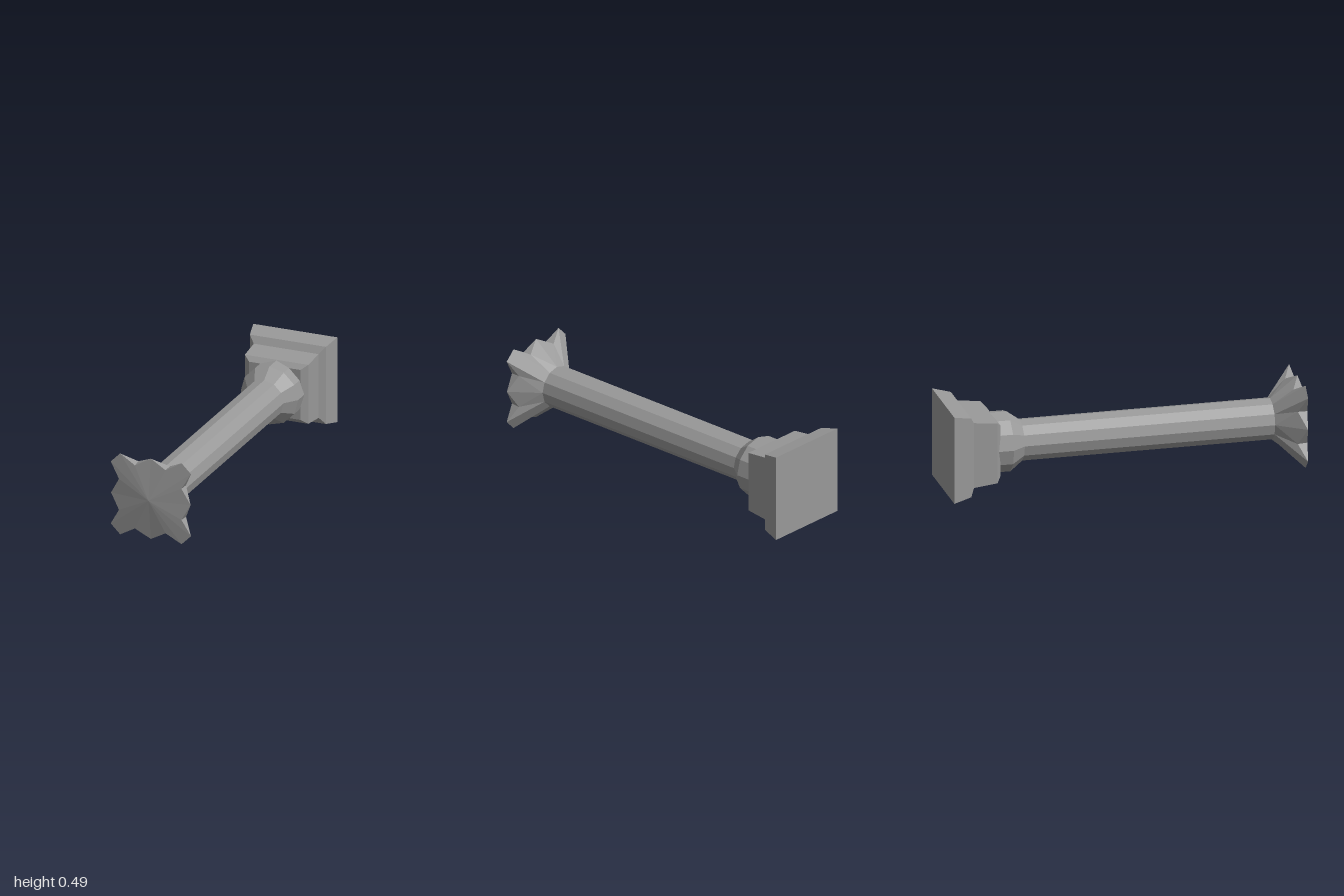
import * as THREE from 'three';

const stone = new THREE.MeshStandardMaterial({ color: 0x999999 });
stone.name = 'grey stone';
const AXIS_Y = 0.246;

// Flat-faced mesh from a list of points, three per triangle
function facetMesh(name, points) {
  const g = new THREE.BufferGeometry().setFromPoints(points);
  g.computeVertexNormals();
  const mesh = new THREE.Mesh(g, stone);
  mesh.name = name;
  return mesh;
}

const P = (x, y, z) => new THREE.Vector3(x, y, z);
const rect = (hx, hy, z) => [P(hx, -hy, z), P(hx, hy, z), P(-hx, hy, z), P(-hx, -hy, z)];
const circle = (r, z) => Array.from({ length: 12 }, (_, i) =>
  P(r * Math.cos(i * Math.PI / 6), r * Math.sin(i * Math.PI / 6), z));

// Skin a series of equal-length rings running towards +z, closing both ends
function loft(name, rings) {
  const tris = [];
  const n = rings[0].length;
  for (let k = 0; k < rings.length - 1; k++) {
    const a = rings[k], b = rings[k + 1];
    for (let i = 0; i < n; i++) {
      const j = (i + 1) % n;
      tris.push(a[i], a[j], b[j], a[i], b[j], b[i]);
    }
  }
  const first = rings[0], last = rings[rings.length - 1];
  for (let i = 1; i < n - 1; i++) {
    tris.push(first[0], first[i + 1], first[i], last[0], last[i], last[i + 1]);
  }
  return facetMesh(name, tris);
}

// Flared capital with twelve tips: one per side and two per corner
function capital() {
  const neck = circle(0.115, 0.815);
  const zTip = 0.967;
  const centre = P(0, 0, 1);
  const turn = (p, q) => p.clone().applyAxisAngle(P(0, 0, 1), q * Math.PI / 2);
  const quarter = [P(0.233, 0, zTip), P(0.235, 0.18, zTip), P(0.18, 0.235, zTip)];
  const notches = { 0: [0.183, 0.09], 2: [0.09, 0.183] };
  const tip = k => turn(quarter[k % 3], Math.floor(k / 3));
  const tris = [];
  for (let k = 0; k < 12; k++) {
    const v = neck[k], w = neck[(k + 1) % 12];
    const t = tip(k), u = tip((k + 1) % 12);
    const notch = notches[k % 3];
    if (notch) {
      const q = Math.floor(k / 3);
      const front = turn(P(notch[0], notch[1], 0.976), q);
      const back = turn(P(notch[0] * 1.02, notch[1] * 1.02, 0.922), q);
      tris.push(v, back, t, v, w, back, w, u, back);   // bell
      tris.push(t, back, front, back, u, front);       // notch walls
      tris.push(centre, t, front, centre, front, u);   // star face
    } else {
      tris.push(v, w, u, v, u, t, centre, t, u);       // blunt corner
    }
  }
  return facetMesh('capital', tris);
}

export function createModel() {
  const group = new THREE.Group();
  group.name = 'column';
  const column = new THREE.Group();
  column.name = 'columnParts';
  column.position.y = AXIS_Y;

  // Square stepped base with a shallow sloped top
  column.add(loft('base', [
    rect(0.246, 0.246, -1),
    rect(0.223, 0.224, -0.9),
    rect(0.19, 0.185, -0.877),
    rect(0.186, 0.171, -0.745),
    rect(0.15, 0.145, -0.72),
  ]));
  // Collar where the shaft meets the base
  column.add(loft('collar', [
    circle(0.168, -0.745),
    circle(0.168, -0.648),
    circle(0.115, -0.575),
  ]));
  column.add(loft('shaft', [circle(0.115, -0.58), circle(0.115, 0.815)]));
  column.add(capital());

  group.add(column);
  return group;
}
